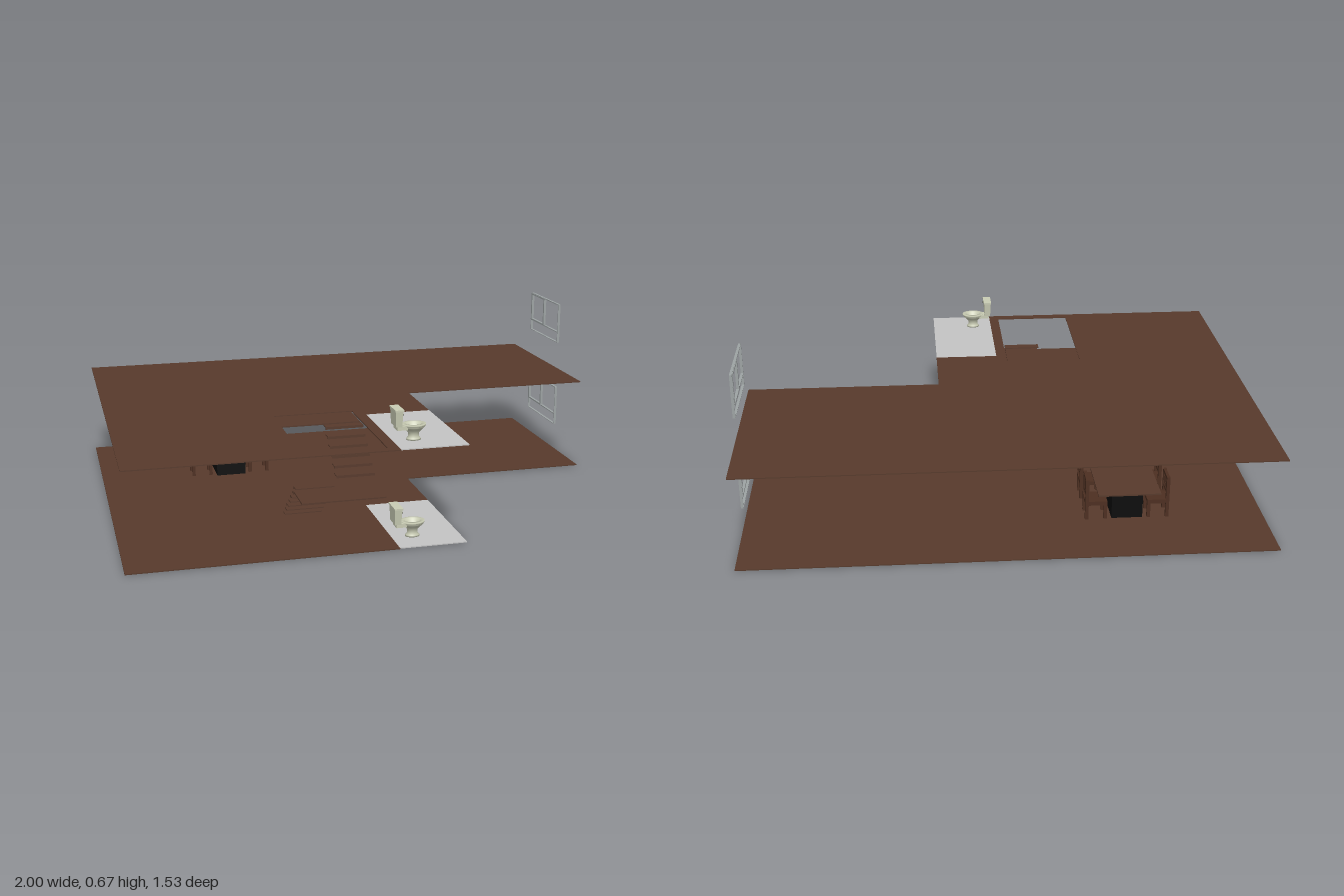
import * as THREE from 'three';

const mat = (name, color, side = THREE.FrontSide) => {
  const m = new THREE.MeshStandardMaterial({ color, side });
  m.name = name;
  return m;
};

export function createModel() {
  const wood = mat('brown wood', 0x573a2c);
  const chairWood = mat('chair wood', 0x4d2f21);
  const tile = mat('grey tile', 0xc4c4c4);
  const black = mat('black', 0x0c0c0c);
  const porcelain = mat('cream porcelain', 0xc9ccb4);
  const metal = mat('handle metal', 0x55564c);
  const frameGrey = mat('window frame grey', 0x9da3a3);

  const house = new THREE.Group();
  house.name = 'house interior';

  const group = (name, parent = house) => {
    const g = new THREE.Group();
    g.name = name;
    parent.add(g);
    return g;
  };
  const add = (parent, name, geo, material) => {
    const m = new THREE.Mesh(geo, material);
    m.name = name;
    parent.add(m);
    return m;
  };
  // box given by its minimum and maximum on each axis
  const box = (parent, name, material, x0, x1, y0, y1, z0, z1) => {
    const m = add(parent, name, new THREE.BoxGeometry(x1 - x0, y1 - y0, z1 - z0), material);
    m.position.set((x0 + x1) / 2, (y0 + y1) / 2, (z0 + z1) / 2);
    return m;
  };

  const STOREY = 0.37, SLAB = 0.004;
  const points = list => list.map(([x, z]) => new THREE.Vector2(x, z));

  // L-shaped wooden floor, optionally with the stairwell cut out
  function floor(parent, y, stairwell) {
    const shape = new THREE.Shape(points([
      [-1, -0.77], [1, -0.77], [1, 0], [0.235, 0],
      [0.235, 0.285], [-0.02, 0.285], [-0.02, 0.765], [-1, 0.765]]));
    if (stairwell) {
      shape.holes.push(new THREE.Path(points([
        [-0.37, 0.22], [-0.37, 0.73], [-0.06, 0.73], [-0.06, 0.22]])));
    }
    const geo = new THREE.ExtrudeGeometry(shape, { depth: SLAB, bevelEnabled: false });
    geo.rotateX(Math.PI / 2);
    add(parent, 'wooden floor', geo, wood).position.y = y + SLAB;
    box(parent, 'bathroom floor', tile, -0.02, 0.235, y, y + SLAB, 0.285, 0.76);
  }

  // toilet facing +x, with its origin under the bowl
  function toilet(parent, y) {
    const g = group('toilet', parent);
    g.position.set(0.06, y + SLAB, 0.65);
    const bowl = new THREE.LatheGeometry(points([
      [0, 0], [0.022, 0], [0.021, 0.006], [0.016, 0.012], [0.016, 0.026],
      [0.025, 0.038], [0.032, 0.046], [0.034, 0.05], [0.034, 0.053],
      [0.037, 0.054], [0.037, 0.060], [0.024, 0.060], [0.022, 0.046],
      [0.009, 0.034], [0, 0.033]]), 28);
    add(g, 'bowl', bowl, porcelain).scale.x = 1.24;
    box(g, 'bowl neck', porcelain, -0.068, -0.028, 0.042, 0.057, -0.024, 0.024);

    // cistern narrowing downwards
    const tank = new THREE.BoxGeometry(0.028, 0.06, 0.076);
    const p = tank.attributes.position;
    for (let i = 0; i < p.count; i++) {
      if (p.getY(i) < 0) {
        p.setZ(i, p.getZ(i) * 0.83);
        p.setX(i, p.getX(i) * 0.85);
      }
    }
    tank.computeVertexNormals();
    add(g, 'cistern', tank, porcelain).position.set(-0.064, 0.087, 0);
    box(g, 'cistern lid', porcelain, -0.08, -0.047, 0.116, 0.122, -0.041, 0.041);
    box(g, 'flush handle', metal, -0.052, -0.046, 0.101, 0.105, 0.018, 0.032);
  }

  // window frame standing in the +x wall, with a raised sash on one half
  function windowFrame(parent, y) {
    const g = group('window', parent);
    const zA = -0.53, zM = -0.38, zB = -0.227, top = y + 0.293, rail = y + 0.172, low = y + 0.125;
    const t = 0.004;
    const bar = (name, x0, x1, y0, y1, z0, z1) => box(g, name, frameGrey, x0, x1, y0, y1, z0, z1);
    for (const z of [zA, zB]) bar('side post', 0.983, 0.993, low, top, z - t / 2, z + t / 2);
    for (const h of [top, rail]) bar('cross rail', 0.983, 0.993, h - t / 2, h + t / 2, zA, zB);
    bar('bottom rail', 0.983, 0.993, low, low + 0.002, zA, zB);
    const w = 0.01;
    for (const z of [zA, zM - w]) bar('sash stile', 0.981, 0.991, rail, top, z, z + w);
    for (const h of [rail, top - 0.006]) bar('sash rail', 0.981, 0.991, h, h + 0.006, zA, zM);
  }

  // both storeys
  for (const [name, y, stairwell] of [['ground storey', 0, false], ['upper storey', STOREY, true]]) {
    const g = group(name);
    floor(g, y, stairwell);
    toilet(g, y);
    windowFrame(g, y);
  }

  // open stairs: two flights of thin treads with small lips at the front edge
  const stairs = group('stairs');
  function flight(name, x0, x1, count, y, z, dir) {
    const g = group(name, stairs);
    for (let i = 0; i < count; i++) {
      const h = y + i * 0.0275, a = z + dir * i * 0.0335, b = a + dir * 0.035;
      box(g, 'tread', wood, x0, x1, h - 0.004, h, Math.min(a, b), Math.max(a, b));
      box(g, 'tread lip', wood, x0, x1, h - 0.01, h - 0.004,
        Math.min(a, a + dir * 0.003), Math.max(a, a + dir * 0.003));
    }
  }
  flight('lower flight', -0.362, -0.218, 7, 0.03, 0.342, 1);
  flight('upper flight', -0.21, -0.065, 6, 0.234, 0.58, -1);
  box(stairs, 'middle landing', wood, -0.37, -0.06, 0.184, 0.189, 0.578, 0.723);
  box(stairs, 'top landing', wood, -0.37, -0.064, 0.366, 0.371, 0.22, 0.36);

  // dining table
  const table = group('dining table');
  box(table, 'table top', wood, -0.59, -0.35, 0.125, 0.131, -0.54, -0.165);
  box(table, 'table base', black, -0.53, -0.41, SLAB, 0.125, -0.49, -0.23);

  // chair facing +x, with its back at x = 0
  function chair(x, z, turn) {
    const g = group('chair');
    g.position.set(x, SLAB, z);
    g.rotation.y = turn;
    const half = 0.041, w = 0.012;
    for (const s of [-1, 1]) {
      const z0 = s > 0 ? half - w : -half, z1 = z0 + w;
      box(g, 'back leg', chairWood, 0, 0.013, 0, 0.17, z0, z1);
      box(g, 'front leg', chairWood, 0.072, 0.085, 0, 0.07, z0, z1);
      box(g, 'side apron', chairWood, 0.013, 0.072, 0.058, 0.07, z0 + 0.002, z1 - 0.002);
    }
    box(g, 'seat', chairWood, 0, 0.085, 0.069, 0.076, -half, half);
    for (const x0 of [0.002, 0.075]) {
      box(g, 'apron', chairWood, x0, x0 + 0.008, 0.057, 0.07, -half, half);
    }
    box(g, 'top rail', chairWood, 0.001, 0.012, 0.155, 0.168, -half, half);
    box(g, 'lower back rail', chairWood, 0.002, 0.011, 0.098, 0.11, -half, half);
    for (const zs of [-0.016, 0, 0.016]) {
      box(g, 'back slat', chairWood, 0.003, 0.01, 0.105, 0.16, zs - 0.004, zs + 0.004);
    }
  }
  for (const z of [-0.287, -0.453]) {
    chair(-0.632, z, 0);
    chair(-0.307, z, Math.PI);
  }

  return house;
}
